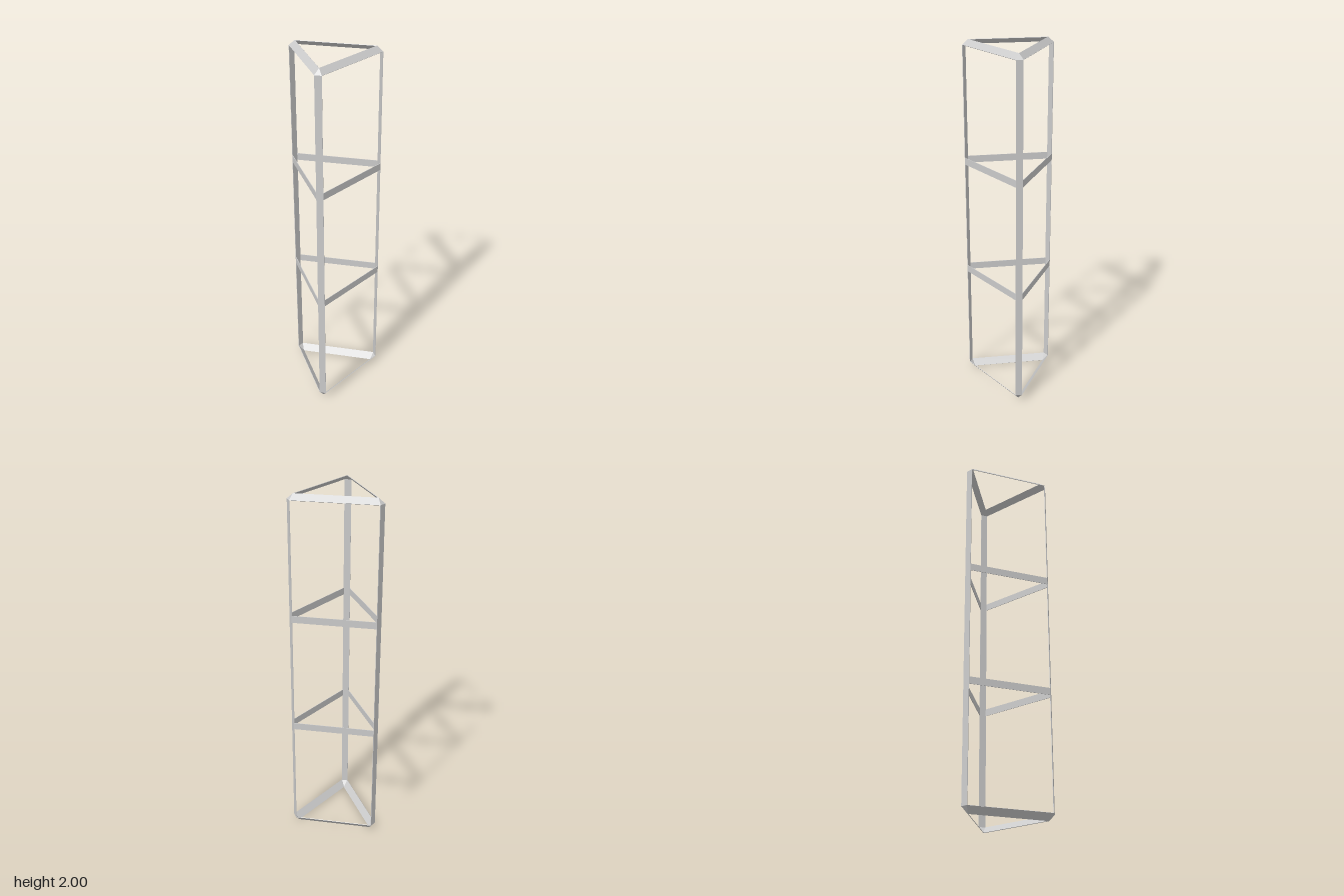
import * as THREE from 'three';

const CX = -0.06;      // axis of the triangular prism
const CORNER = 0.27;   // axis to the flat of each corner post
const HALF = 0.0185;   // half width of a corner post
const INNER = 0.244;   // axis to the inner corners of the end frames
const THICK = 0.003;
const material = new THREE.MeshStandardMaterial({ color: 0xcccccc, flatShading: true, side: THREE.DoubleSide });

// Thin closed plate from a convex outline, thickened toward the middle of the model
function plate(name, outline) {
  const n = outline.length;
  const mid = outline.reduce((s, p) => s.add(p), new THREE.Vector3()).divideScalar(n);
  const normal = outline[1].clone().sub(outline[0]).cross(outline[2].clone().sub(outline[0])).normalize();
  let outer = outline;
  if (normal.dot(mid.clone().sub(new THREE.Vector3(CX, 1, 0))) < 0) {
    outer = [...outline].reverse();
    normal.negate();
  }
  const inner = outer.map(p => p.clone().addScaledVector(normal, -THICK));
  const pos = [];
  const tri = (...pts) => pts.forEach(p => pos.push(p.x, p.y, p.z));
  for (let i = 1; i < n - 1; i++) {
    tri(outer[0], outer[i], outer[i + 1]);
    tri(inner[0], inner[i + 1], inner[i]);
  }
  for (let i = 0; i < n; i++) {
    const j = (i + 1) % n;
    tri(outer[i], inner[i], inner[j]);
    tri(outer[i], inner[j], outer[j]);
  }
  const geometry = new THREE.BufferGeometry();
  geometry.setAttribute('position', new THREE.Float32BufferAttribute(pos, 3));
  geometry.computeVertexNormals();
  const mesh = new THREE.Mesh(geometry, material);
  mesh.name = name;
  return mesh;
}

// Point at corner k, at a distance from the axis and an offset along the corner flat
function at(k, radius, offset, y) {
  const a = k * Math.PI * 2 / 3;
  return new THREE.Vector3(
    CX + radius * Math.cos(a) - offset * Math.sin(a), y,
    radius * Math.sin(a) + offset * Math.cos(a));
}

export function createModel() {
  const group = new THREE.Group();
  group.name = 'triangularFrame';
  const ends = [
    { name: 'bottom', rim: 0.035, lip: 0 },
    { name: 'top', rim: 1.972, lip: 2 },
  ];

  for (let k = 0; k < 3; k++) {
    // Upright flat strip on each corner
    group.add(plate('cornerPost', [
      at(k, CORNER, -HALF, ends[0].rim), at(k, CORNER, HALF, ends[0].rim),
      at(k, CORNER, HALF, ends[1].rim), at(k, CORNER, -HALF, ends[1].rim)]));

    // Slanted strips and corner triangles of the end frames
    for (const { name, rim, lip } of ends) {
      group.add(plate(name + 'Rail', [
        at(k, CORNER, HALF, rim), at(k + 1, CORNER, -HALF, rim),
        at(k + 1, INNER, 0, lip), at(k, INNER, 0, lip)]));
      group.add(plate(name + 'Corner', [
        at(k, CORNER, -HALF, rim), at(k, CORNER, HALF, rim), at(k, INNER, 0, lip)]));
    }

    // Upright cross bars at the thirds of the height
    for (const y of [0.675, 1.333]) {
      group.add(plate('crossBar', [
        at(k, CORNER, HALF, y - 0.0195), at(k + 1, CORNER, -HALF, y - 0.0195),
        at(k + 1, CORNER, -HALF, y + 0.0195), at(k, CORNER, HALF, y + 0.0195)]));
    }
  }
  return group;
}
